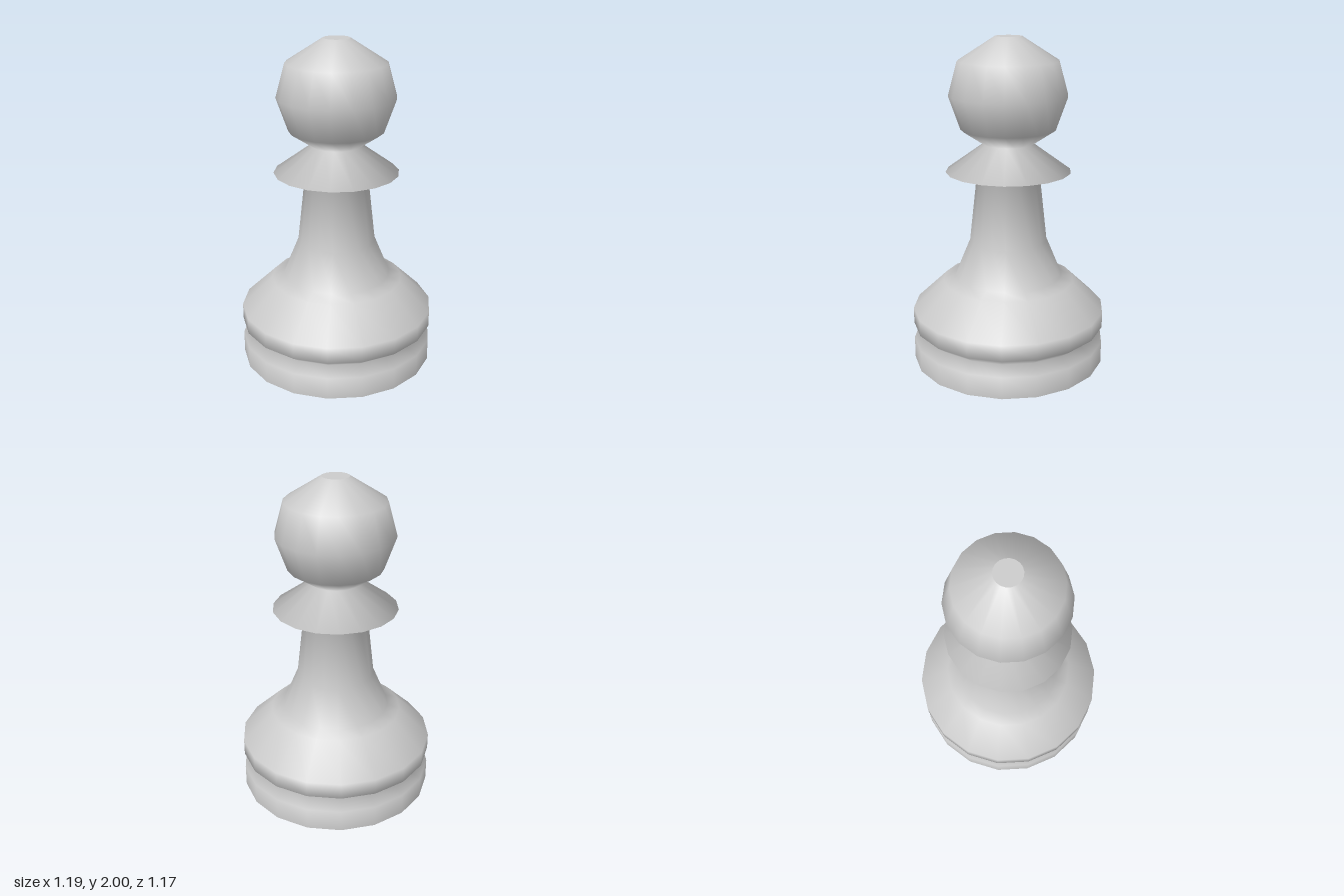
import * as THREE from 'three';

const SIDES = 18;

export function createModel() {
  const group = new THREE.Group();
  const material = new THREE.MeshStandardMaterial({ color: 0xcccccc });

  const add = (name, geometry, y = 0) => {
    const mesh = new THREE.Mesh(geometry, material);
    mesh.name = name;
    mesh.position.y = y;
    group.add(mesh);
  };

  // Turned outline as [radius, height], from the foot to the crown
  const foot = [[0.595, 0], [0.595, 0.135], [0.515, 0.178], [0.595, 0.237]];
  const bell = [[0.595, 0.335], [0.405, 0.517], [0.33, 0.545]];
  const stem = [[0.237, 0.77], [0.19, 1.19]];
  const collar = [[0.378, 1.205], [0.15, 1.37]];
  const head = [[0.285, 1.46], [0.355, 1.66], [0.3, 1.86], [0.08, 2]];

  // One continuous smooth surface, with a corner on the x axis
  const outline = [...foot, ...bell, ...stem, ...collar, ...head]
    .map(([r, y]) => new THREE.Vector2(r, y));
  add('turnedBody', new THREE.LatheGeometry(outline, SIDES, Math.PI / 2));

  // Flat ends with sharp edges
  add('footUnderside', new THREE.CircleGeometry(0.595, SIDES).rotateX(Math.PI / 2));
  add('crownCap', new THREE.CircleGeometry(0.08, SIDES).rotateX(-Math.PI / 2), 2);

  return group;
}
